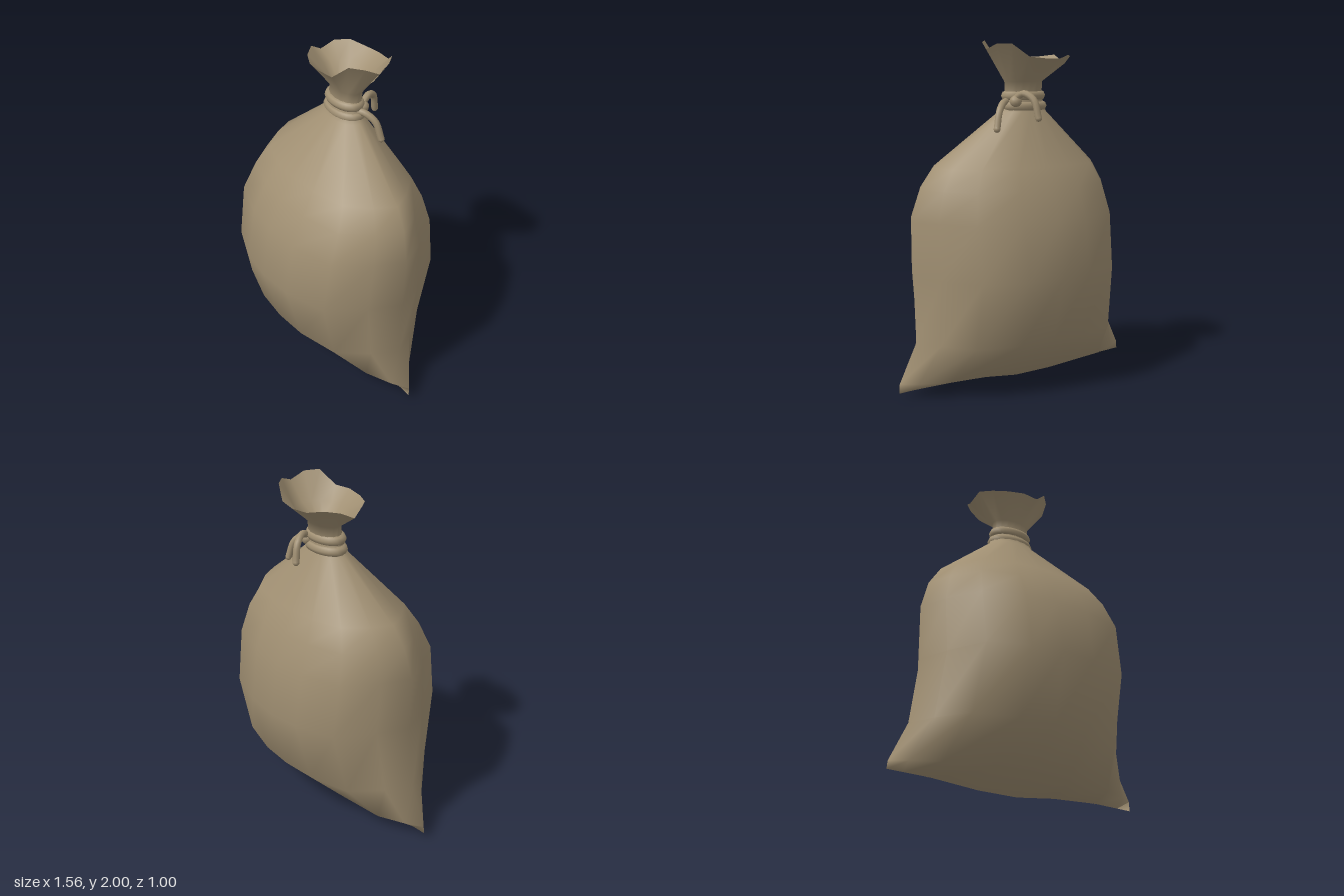
import * as THREE from 'three';

const SIDES = 16;
// Quarter outline of the lens-shaped body section: [x, z] from side seam to middle
const LENS = [[1, 0], [0.88, 0.36], [0.68, 0.79], [0.31, 0.96], [0, 1]];

// Point i on a unit ring; round = 0 is the pointed lens, 1 a circle
function unit(i, round) {
  const q = i % 8, k = q > 4 ? 8 - q : q;
  const a = (i / SIDES) * Math.PI * 2;
  const sx = (i > 4 && i < 12) ? -1 : 1, sz = i > 8 ? -1 : 1;
  return [
    THREE.MathUtils.lerp(sx * LENS[k][0], Math.cos(a), round),
    THREE.MathUtils.lerp(sz * LENS[k][1], Math.sin(a), round),
  ];
}

// Ring from left/right x, front/back z and a height (number or rule of i and x)
function ring(x0, x1, zFront, zBack, y, round) {
  return Array.from({ length: SIDES }, (_, i) => {
    const [u, v] = unit(i, round);
    const x = u < 0 ? -u * x0 : u * x1;
    const mid = (zFront + zBack) / 2, half = (zFront - zBack) / 2;
    return [x, typeof y === 'function' ? y(i, x) : y, mid + v * half];
  });
}

// Smooth skin through a stack of rings, outward for rising rings
function loft(rings) {
  const index = [];
  for (let r = 0; r < rings.length - 1; r++) {
    for (let i = 0; i < SIDES; i++) {
      const j = (i + 1) % SIDES, a = r * SIDES, b = a + SIDES;
      index.push(a + i, b + i, a + j, b + i, b + j, a + j);
    }
  }
  const g = new THREE.BufferGeometry();
  g.setAttribute('position', new THREE.Float32BufferAttribute(rings.flat(2), 3));
  g.setIndex(index);
  g.computeVertexNormals();
  return g;
}

// Uneven bottom seam height along x
const SEAM = [[-0.78, 0.04], [-0.5, 0.03], [-0.2, 0], [0, 0], [0.2, 0.025], [0.5, 0.04], [0.78, 0.03]];
function seamY(i, x) {
  for (let k = 1; k < SEAM.length; k++) {
    const [xa, ya] = SEAM[k - 1], [xb, yb] = SEAM[k];
    if (x <= xb) return ya + (yb - ya) * (x - xa) / (xb - xa);
  }
  return 0.03;
}

// Wavy rim of the mouth, counted from +x towards +z
const RIM = [1.95, 1.99, 2.0, 1.92, 1.92, 1.91, 1.91, 1.92, 1.87, 1.91, 1.92, 1.9, 1.9, 1.91, 1.98, 1.98];

export function createModel() {
  const group = new THREE.Group();
  const burlap = new THREE.MeshStandardMaterial({ color: 0xa08f72 });
  burlap.name = 'burlap';
  const add = (name, geometry, parent = group) => {
    const mesh = new THREE.Mesh(geometry, burlap);
    mesh.name = name;
    parent.add(mesh);
  };

  // Filled sack: seam, pinched corners, belly, shoulders, neck and flared collar
  const rim = ring(-0.27, 0.265, 0.095, -0.315, (i) => RIM[i], 1);
  add('sackBody', loft([
    ring(-0.78, 0.78, 0.005, -0.005, seamY, 0),
    ring(-0.775, 0.78, 0.165, -0.17, 0.085, 0),
    ring(-0.67, 0.67, 0.4, -0.4, 0.31, 0),
    ring(-0.62, 0.68, 0.5, -0.495, 0.69, 0),
    ring(-0.63, 0.69, 0.445, -0.445, 1.01, 0),
    ring(-0.58, 0.64, 0.36, -0.39, 1.18, 0.1),
    ring(-0.5, 0.56, 0.28, -0.335, 1.3, 0.2),
    ring(-0.15, 0.155, 0.02, -0.165, 1.6, 0.8),
    ring(-0.115, 0.12, -0.01, -0.155, 1.68, 1),
    ring(-0.115, 0.125, -0.015, -0.16, 1.77, 1),
    rim,
  ]));

  // Inside of the open mouth, narrowing to the tied neck
  add('mouthInside', loft([
    rim,
    ring(-0.17, 0.17, 0.03, -0.24, 1.84, 1),
    ring(-0.09, 0.09, -0.03, -0.15, 1.77, 1),
    ring(-0.001, 0.001, -0.089, -0.091, 1.73, 1),
  ]));

  // Cord wound twice around the neck
  const tie = new THREE.Group();
  tie.name = 'neckTie';
  group.add(tie);
  const tube = (pts, radius, closed) => new THREE.TubeGeometry(
    new THREE.CatmullRomCurve3(pts.map((p) => new THREE.Vector3(...p)), closed),
    closed ? 32 : 14, radius, 8, closed);
  for (const [y, rx, rz] of [[1.69, 0.11, 0.06], [1.63, 0.12, 0.065]]) {
    const pts = Array.from({ length: 12 }, (_, i) => {
      const a = i / 12 * Math.PI * 2;
      return [rx * Math.cos(a), y, -0.08 + rz * Math.sin(a)];
    });
    add('cordLoop', tube(pts, 0.03, true), tie);
  }

  // Knot and two loose ends at the back left
  const knot = new THREE.SphereGeometry(0.035, 12, 8);
  knot.translate(0.09, 1.66, -0.14);
  add('knot', knot, tie);
  const ends = [
    [[0.1, 1.66, -0.08], [0.15, 1.655, -0.11], [0.2, 1.61, -0.145], [0.23, 1.51, -0.165]],
    [[0.09, 1.67, -0.13], [0.07, 1.705, -0.19], [0.04, 1.67, -0.25], [0.025, 1.57, -0.275]],
  ];
  for (const pts of ends) {
    add('cordEnd', tube(pts, 0.02, false), tie);
    const cap = new THREE.SphereGeometry(0.02, 8, 6);
    cap.translate(...pts[3]);
    add('cordTip', cap, tie);
  }
  return group;
}
